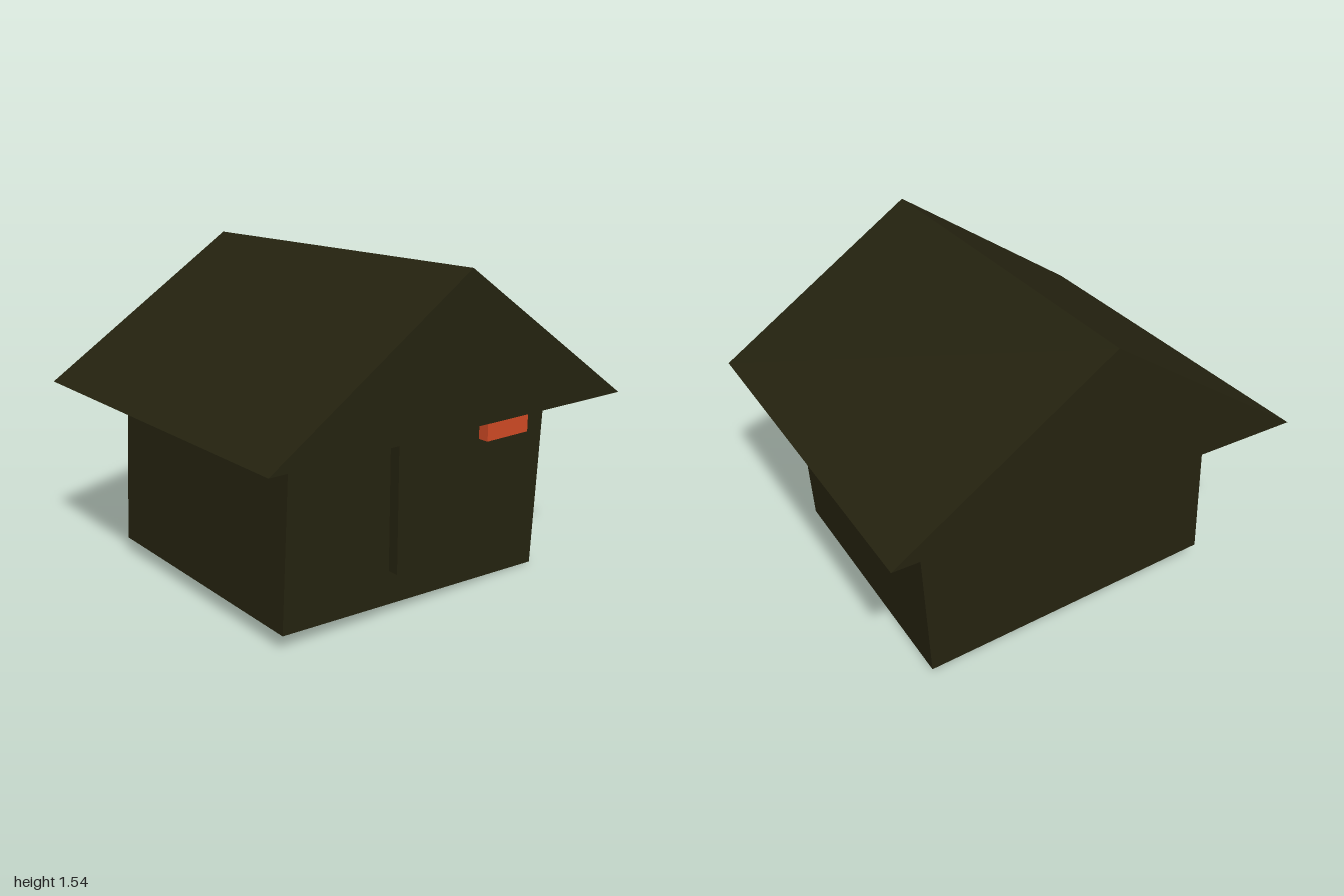
import * as THREE from 'three';

export function createModel() {
  const house = new THREE.Group();
  house.name = 'house';
  const darkOlive = new THREE.MeshStandardMaterial({ name: 'dark olive', color: 0x24220f, flatShading: true });
  const orange = new THREE.MeshStandardMaterial({ name: 'burnt orange', color: 0xcc4824, flatShading: true });

  const add = (name, geometry, material, x, y, z) => {
    const mesh = new THREE.Mesh(geometry, material);
    mesh.name = name;
    mesh.position.set(x, y, z);
    house.add(mesh);
    return mesh;
  };

  // Walls: a plain block leaning slightly to the model's left
  const walls = add('walls', new THREE.BoxGeometry(1.497, 0.833, 1.333), darkOlive, -0.002, 0.458, 0);
  walls.rotation.z = -0.0515;

  // Roof: a closed triangular prism with its ridge running front to back
  const gable = new THREE.Shape([
    new THREE.Vector2(-1, 0),
    new THREE.Vector2(1, 0),
    new THREE.Vector2(0, 0.665),
  ]);
  const roofDepth = 1.833;
  add('roof', new THREE.ExtrudeGeometry(gable, { depth: roofDepth, bevelEnabled: false }), darkOlive, 0, 0.876, -roofDepth / 2);

  // Upright door and window blocks, set through the front wall
  add('door', new THREE.BoxGeometry(0.4, 0.667, 0.1), darkOlive, 0, 0.543, 0.67);
  add('window', new THREE.BoxGeometry(0.265, 0.265, 0.1), orange, 0.466, 0.843, 0.67);

  return house;
}
